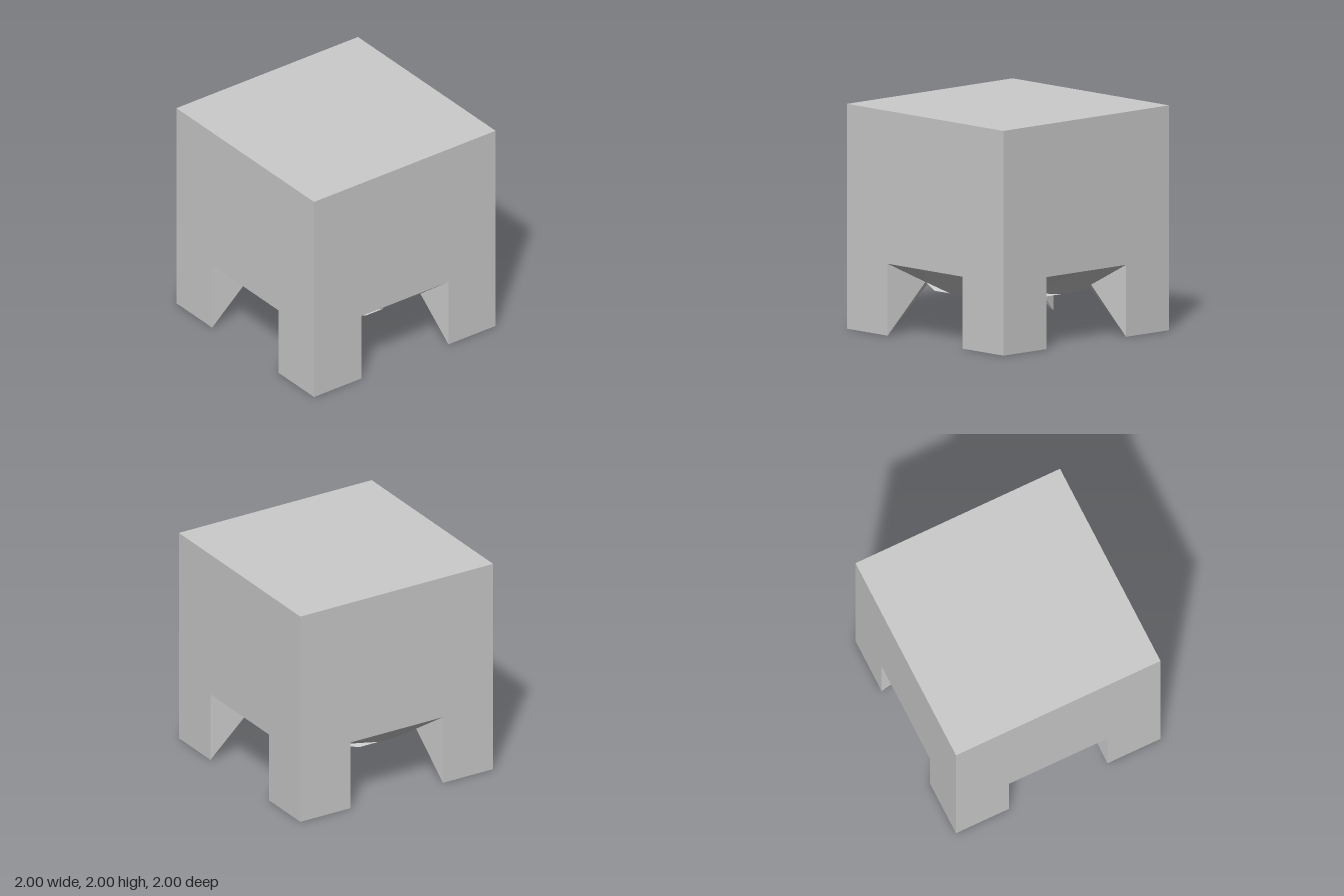
import * as THREE from 'three';

const material = new THREE.MeshStandardMaterial({ color: 0xcccccc, flatShading: true });

// Faceted surface from convex polygons, mirrored across x
function mirroredFacets(polygons) {
  const pos = [];
  const fan = (p) => {
    for (let i = 1; i < p.length - 1; i++) pos.push(...p[0], ...p[i], ...p[i + 1]);
  };
  for (const p of polygons) {
    fan(p);
    fan(p.map(([x, y, z]) => [-x, y, z]).reverse());
  }
  const g = new THREE.BufferGeometry();
  g.setAttribute('position', new THREE.Float32BufferAttribute(pos, 3));
  g.computeVertexNormals();
  return g;
}

export function createModel() {
  const model = new THREE.Group();
  model.name = 'footedBlock';
  const add = (parent, name, geometry) => {
    const mesh = new THREE.Mesh(geometry, material);
    mesh.name = name;
    parent.add(mesh);
    return mesh;
  };

  // Flat top
  add(model, 'top', new THREE.PlaneGeometry(2, 2).rotateX(-Math.PI / 2).translate(0, 2, 0));

  // Side wall with a rectangular opening between two legs
  const outline = [[-1, 0], [-0.48, 0], [-0.48, 0.64], [0.48, 0.64], [0.48, 0], [1, 0], [1, 2], [-1, 2]];
  const wall = new THREE.ShapeGeometry(new THREE.Shape(outline.map(([x, y]) => new THREE.Vector2(x, y))));
  wall.translate(0, 0, 1);

  // Corners of the opening, foot and hanging rim on the +x half of the front
  const archMid = [0, 0.64, 1], archEnd = [0.48, 0.64, 1], legIn = [0.48, 0, 1];
  const footEdge = [0.61, 0, 1], footMid = [0.805, 0, 0.805], footCorner = [1, 0, 1];
  const rimMid = [0, 0.4, 0.7], rimA = [0.2, 0.4, 0.7], rimB = [0.42, 0.44, 0.6], rimC = [0.5, 0.4, 0.5];
  const hollowMid = [0, 0.64, 0.45], hollowCorner = [0.45, 0.64, 0.45], peak = [0, 1.1, 0];

  // Sloping roof of the opening
  const roof = mirroredFacets([[archEnd, archMid, rimMid, rimA, rimB]]);
  // Inner faces and sole of the legs
  const legs = mirroredFacets([
    [archEnd, rimB, legIn],
    [legIn, rimB, rimC],
    [legIn, rimC, footEdge],
    [footEdge, rimC, footMid],
    [footEdge, footMid, footCorner],
  ]);
  // Hollow above the rim
  const hollow = mirroredFacets([
    [rimC, rimB, hollowCorner],
    [rimB, rimA, hollowCorner],
    [rimA, rimMid, hollowMid, hollowCorner],
    [hollowCorner, hollowMid, peak],
  ]);

  // Four identical sides
  ['front', 'left', 'back', 'right'].forEach((name, i) => {
    const side = new THREE.Group();
    side.name = name + 'Side';
    side.rotation.y = (i * Math.PI) / 2;
    add(side, 'wall', wall);
    add(side, 'openingRoof', roof);
    add(side, 'legInnerFaces', legs);
    add(side, 'undersideHollow', hollow);
    model.add(side);
  });
  return model;
}
